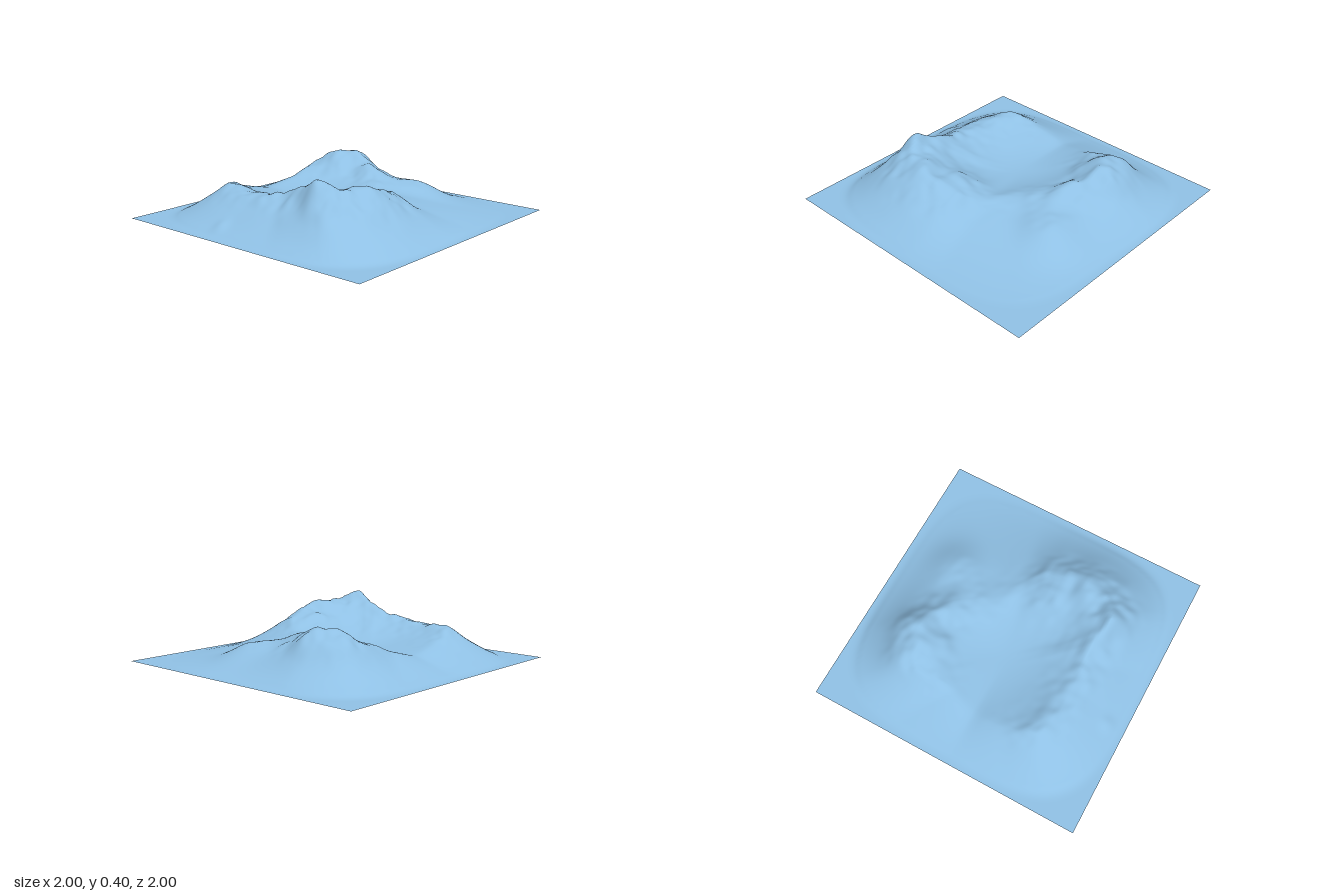
import * as THREE from 'three';

const CENTRE = [-0.06, -0.18]; // middle of the basin
const FLOOR = 0.09;

// Crest around the basin: x, z, height
const RIM = [
  [0.53, -0.32, 0.3], [0.36, 0.0, 0.22], [0.18, 0.12, 0.165], [0.08, 0.32, 0.175],
  [-0.03, 0.44, 0.255], [-0.25, 0.5, 0.315], [-0.44, 0.45, 0.355], [-0.57, 0.34, 0.38],
  [-0.54, 0.16, 0.355], [-0.54, 0.03, 0.27], [-0.55, -0.2, 0.24], [-0.53, -0.45, 0.24],
  [-0.45, -0.58, 0.225], [-0.28, -0.62, 0.165], [-0.05, -0.62, 0.1], [0.18, -0.56, 0.165],
  [0.42, -0.53, 0.275],
].map(([x, z, h]) => ({
  a: Math.atan2(z - CENTRE[1], x - CENTRE[0]),
  r: Math.hypot(x - CENTRE[0], z - CENTRE[1]),
  h,
})).sort((p, q) => p.a - q.a);

// Separate shoulders and mounds: x, z, height, radius
const BUMPS = [
  [0.6, 0.25, 0.06, 0.18], [0.63, -0.32, 0.05, 0.1], [0.58, -0.53, 0.045, 0.11],
  [0.4, -0.36, 0.035, 0.12], [-0.59, 0.33, 0.05, 0.07], [-0.25, 0.6, 0.015, 0.12],
  [-0.13, 0.3, 0.05, 0.13], [-0.36, 0.3, 0.03, 0.12], [-0.87, -0.25, 0.015, 0.05],
];

// Radius and height of the crest in a given direction
function rimAt(angle) {
  const n = RIM.length;
  let i = RIM.findIndex((p) => p.a > angle);
  if (i < 0) i = 0;
  const p = RIM[(i + n - 1) % n], q = RIM[i];
  const turn = (v) => (v + 4 * Math.PI) % (2 * Math.PI);
  const t = turn(angle - p.a) / turn(q.a - p.a);
  return { r: THREE.MathUtils.lerp(p.r, q.r, t), h: THREE.MathUtils.lerp(p.h, q.h, t) };
}

// Smooth seeded value noise, -1 to 1
function hash(i, j) {
  let h = (Math.imul(i, 374761393) + Math.imul(j, 668265263) + 1013) | 0;
  h = Math.imul(h ^ (h >>> 13), 1274126177);
  return ((h ^ (h >>> 16)) >>> 0) / 2147483648 - 1;
}
function noise(x, z) {
  const i = Math.floor(x), j = Math.floor(z);
  const s = (t) => t * t * (3 - 2 * t);
  const u = s(x - i), v = s(z - j), mix = THREE.MathUtils.lerp;
  return mix(mix(hash(i, j), hash(i + 1, j), u), mix(hash(i, j + 1), hash(i + 1, j + 1), u), v);
}

// Distance left to the foot of the mountain, a rounded square
const toFoot = (x, z) => Math.max(0, 1 - Math.pow(x ** 4 + z ** 4, 0.25));

// Bowl inside the crest, sloping flank outside it
function ringHeight(x, z) {
  const dx = x - CENTRE[0], dz = z - CENTRE[1];
  const d = Math.hypot(dx, dz);
  const rim = rimAt(Math.atan2(dz, dx));
  if (d < rim.r) return FLOOR + (rim.h - FLOOR) * (d / rim.r) ** 2;
  const foot = toFoot(x, z);
  const s = foot / (d - rim.r + foot);
  return rim.h * s ** 1.6 * (1.85 - 0.85 * s);
}

function heightAt(x, z) {
  // Averaging neighbours rounds the crest
  let h = ringHeight(x, z) / 5;
  for (const [ox, oz] of [[1, 0], [-1, 0], [0, 1], [0, -1]]) {
    h += ringHeight(x + ox * 0.04, z + oz * 0.04) / 5;
  }
  for (const [bx, bz, bh, br] of BUMPS) {
    h += bh * Math.exp(-((x - bx) ** 2 + (z - bz) ** 2) / (br * br));
  }
  // Crags, strongest near the crest
  const crag = 0.018 * noise(x * 9, z * 9) + 0.014 * noise(x * 17 + 7, z * 17);
  h += crag * THREE.MathUtils.smoothstep(h, 0.1, 0.28);
  return Math.max(0, h * Math.min(1, toFoot(x, z) / 0.08));
}

export function createModel() {
  const group = new THREE.Group();
  group.name = 'mountain';

  // Square sheet raised into a ring-shaped mountain
  const geometry = new THREE.PlaneGeometry(2, 2, 110, 110).rotateX(-Math.PI / 2);
  const pos = geometry.attributes.position;
  for (let i = 0; i < pos.count; i++) pos.setY(i, heightAt(pos.getX(i), pos.getZ(i)));
  geometry.computeVertexNormals();

  const terrain = new THREE.Mesh(
    geometry,
    new THREE.MeshStandardMaterial({ color: 0x8fc0e4, side: THREE.DoubleSide }),
  );
  terrain.name = 'terrain';
  group.add(terrain);
  return group;
}
